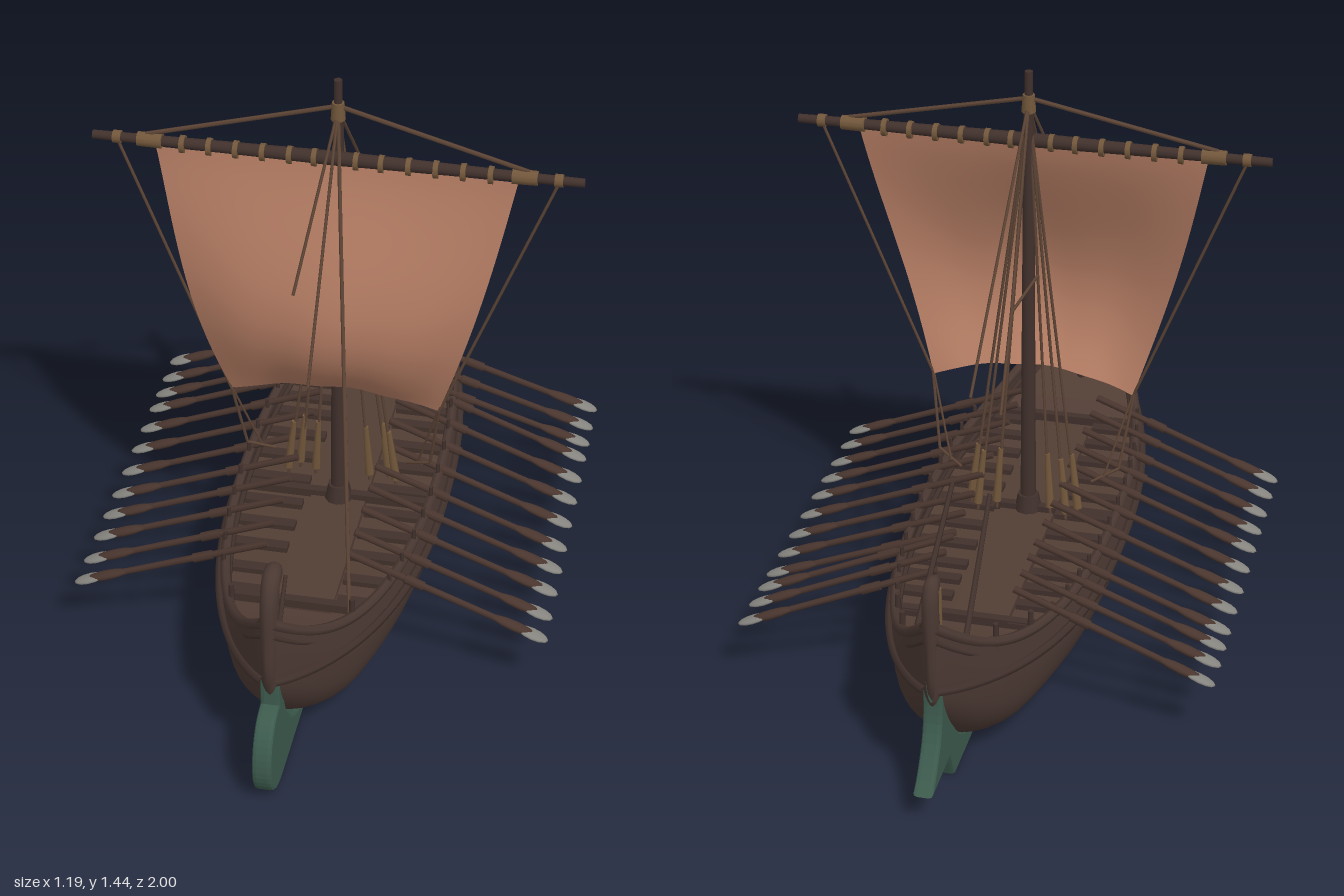
import * as THREE from 'three';

const V = (x, y, z) => new THREE.Vector3(x, y, z);
const mat = (name, color, side = THREE.FrontSide) => {
  const m = new THREE.MeshStandardMaterial({ color, side });
  m.name = name;
  return m;
};

export function createModel() {
  const ship = new THREE.Group();
  ship.name = 'oaredSailingShip';
  const hullWood = mat('hullWood', 0x4a3832, THREE.DoubleSide);
  const darkWood = mat('darkWood', 0x41312c);
  const deckWood = mat('deckWood', 0x513d34, THREE.DoubleSide);
  const oarWood = mat('oarWood', 0x49352e);
  const bladeGrey = mat('bladeGrey', 0x85847f);
  const bronze = mat('greenBronze', 0x3c5a4d);
  const canvas = mat('sailCanvas', 0xb27b62, THREE.DoubleSide);
  const rope = mat('rope', 0x5c4435);
  const binding = mat('ropeBinding', 0x72573b);

  const add = (name, geo, material, parent = ship) => {
    const m = new THREE.Mesh(geo, material);
    m.name = name;
    parent.add(m);
    return m;
  };
  const box = (name, w, h, d, x, y, z, m) => add(name, new THREE.BoxGeometry(w, h, d), m).position.set(x, y, z);
  // straight round bar between two points
  const bar = (name, a, b, r0, r1, m, sides = 6) => {
    const c = add(name, new THREE.CylinderGeometry(r1, r0, a.distanceTo(b), sides), m);
    c.position.copy(a).add(b).multiplyScalar(0.5);
    c.quaternion.setFromUnitVectors(V(0, 1, 0), b.clone().sub(a).normalize());
    return c;
  };
  const line = (name, pts, r = 0.004) => {
    for (let i = 1; i < pts.length; i++) bar(name, V(...pts[i - 1]), V(...pts[i]), r, r, rope, 5);
  };
  // surface through equal rows of points
  const loft = (rows, closed = false) => {
    const n = rows[0].length, idx = [];
    for (let i = 0; i < rows.length - 1; i++)
      for (let j = 0; j < (closed ? n : n - 1); j++) {
        const k = (j + 1) % n, a = i * n + j, b = i * n + k, c = a + n, d = b + n;
        idx.push(a, c, b, b, c, d);
      }
    const g = new THREE.BufferGeometry().setFromPoints(rows.flat());
    g.setIndex(idx);
    g.computeVertexNormals();
    return g;
  };

  // hull lines: half breadth, rail height and keel height along z
  const beam = z => 0.262 * Math.pow(Math.max(0.001, 1 - Math.pow(Math.abs(z) / 0.92, 2.3)), 0.8);
  const sheer = z => 0.285 + 0.21 * Math.pow(Math.abs(z) / 0.92, 5);
  const keel = z => 0.02 + 0.26 * Math.pow(Math.max(0, Math.abs(z) - 0.6) / 0.31, 1.8);
  const section = new THREE.SplineCurve([[0, 0], [0.38, 0.05], [0.72, 0.17], [0.92, 0.36], [1, 0.64], [0.985, 0.82], [0.95, 1]]
    .map(p => new THREE.Vector2(...p)));
  const prof = section.getPoints(14);
  const stations = Array.from({ length: 61 }, (_, i) => 0.91 * Math.sin((i / 60 - 0.5) * Math.PI));
  const hullPt = (p, s, z) => V(s * p.x * beam(z), keel(z) + p.y * (sheer(z) - keel(z)), z);
  add('hullShell', loft(stations.map(z => [
    ...prof.slice(1).reverse().map(p => hullPt(p, -1, z)), ...prof.map(p => hullPt(p, 1, z))])), hullWood);
  add('deck', loft(stations.slice(4, -4).map(z =>
    [-1, 0, 1].map(s => V(s * beam(z) * 0.97, sheer(z) - 0.08, z)))), deckWood);
  box('keel', 0.03, 0.035, 1.57, 0, 0.0175, 0.005, darkWood);

  // rails and wales
  for (const s of [-1, 1]) {
    const strake = (name, f, yOf, r, m) => add(name, new THREE.TubeGeometry(new THREE.CatmullRomCurve3(
      stations.filter((_, i) => i % 2 === 0).map(z => V(s * beam(z) * f, yOf(z), z))), 80, r, 6), m);
    strake('rail', 0.94, z => sheer(z) + 0.002, 0.013, hullWood);
    strake('wale', 1.02, z => 0.22 + 0.09 * Math.pow(Math.abs(z) / 0.9, 3), 0.011, darkWood);
    strake('innerStringer', 0.9, z => sheer(z) - 0.035, 0.007, darkWood);
  }

  // curled stem and stern posts: centre points [z, y, half width]
  const post = (name, pts, thick) => {
    const c = new THREE.CatmullRomCurve3(pts.map(([z, y, w]) => V(w, y, z)));
    const rows = [];
    for (let i = 0; i <= 48; i++) {
      const p = c.getPoint(i / 48), t = c.getTangent(i / 48), l = Math.hypot(t.y, t.z);
      rows.push(Array.from({ length: 12 }, (_, j) => {
        const a = j / 12 * Math.PI * 2, n = Math.cos(a) * p.x;
        return V(Math.sin(a) * Math.min(thick, p.x), p.y + n * t.z / l, p.z - n * t.y / l);
      }));
    }
    add(name, loft(rows, true), hullWood);
  };
  post('bowPost', [[0.83, 0.2, 0.03], [0.875, 0.33, 0.045], [0.887, 0.44, 0.036], [0.885, 0.53, 0.03], [0.865, 0.575, 0.024],
    [0.835, 0.582, 0.02], [0.815, 0.56, 0.016], [0.822, 0.538, 0.013], [0.84, 0.54, 0.008]], 0.022);
  post('sternPost', [[-0.83, 0.2, 0.03], [-0.865, 0.32, 0.045], [-0.885, 0.42, 0.036], [-0.9, 0.5, 0.024], [-0.9, 0.56, 0.02],
    [-0.888, 0.588, 0.017], [-0.87, 0.585, 0.015], [-0.866, 0.562, 0.012], [-0.88, 0.552, 0.007]], 0.02);

  // bronze sheathing on the forefoot and the stern fin, drawn in the z-y plane
  const plate = (name, draw) => {
    const s = new THREE.Shape();
    draw(s);
    const g = new THREE.ExtrudeGeometry(s, { depth: 0.026, bevelSize: 0.006, bevelThickness: 0.01, bevelOffset: -0.006, bevelSegments: 2, curveSegments: 10 });
    g.translate(0, 0, -0.013).rotateY(-Math.PI / 2);
    add(name, g, bronze);
  };
  plate('bowRam', s => {
    s.moveTo(0.9, 0.31);
    s.lineTo(0.9, 0.235);
    s.bezierCurveTo(0.97, 0.23, 1.0, 0.17, 1.0, 0.11);
    s.bezierCurveTo(1.0, 0.05, 0.96, 0, 0.88, 0);
    s.lineTo(0.62, 0);
    s.lineTo(0.64, 0.03);
    s.bezierCurveTo(0.76, 0.06, 0.84, 0.13, 0.865, 0.3);
  });
  plate('sternFin', s => {
    s.moveTo(-0.9, 0.32);
    s.bezierCurveTo(-0.895, 0.22, -0.9, 0.17, -1.0, 0.08);
    s.lineTo(-0.825, 0.08);
    s.lineTo(-0.79, 0);
    s.lineTo(-0.6, 0);
    s.lineTo(-0.62, 0.03);
    s.bezierCurveTo(-0.74, 0.06, -0.82, 0.14, -0.855, 0.31);
  });

  // gangway, cross beams and rowing benches
  box('gangway', 0.14, 0.02, 1.0, 0, 0.215, 0.03, deckWood);
  for (const z of [-0.64, -0.48, 0.07, 0.53]) box('crossBeam', beam(z) * 1.86, 0.022, 0.022, 0, sheer(z) - 0.055, z, darkWood);
  const oarZ = [-0.52, -0.435, -0.36, -0.29, -0.195, -0.1, 0, 0.1, 0.19, 0.28, 0.375, 0.46];
  for (const s of [-1, 1]) oarZ.forEach((z, i) => {
    const w = beam(z) * 0.94 - 0.08;
    box('bench', w, 0.014, 0.03, s * (0.08 + w / 2), 0.238, z + 0.04, darkWood);
    bar('tholePin', V(s * beam(z) * 0.94, 0.28, z + 0.02), V(s * beam(z) * 0.94, 0.325, z + 0.02), 0.006, 0.005, darkWood);

    // oar, built along +x then swung into place
    const inner = V(s * 0.1, 0.355, z + (s > 0 && i < 3 ? 0.05 : i === 0 ? 0.01 : 0));
    const tip = V(s * 0.595, 0.16, z);
    const L = inner.distanceTo(tip);
    const oar = new THREE.Group();
    oar.name = 'oar';
    oar.position.copy(inner);
    oar.quaternion.setFromUnitVectors(V(1, 0, 0), tip.clone().sub(inner).normalize());
    ship.add(oar);
    const along = (name, r0, r1, a, b) => {
      const c = add(name, new THREE.CylinderGeometry(r1, r0, b - a, 7), oarWood, oar);
      c.rotation.z = -Math.PI / 2;
      c.position.x = (a + b) / 2;
    };
    along('oarShaft', 0.009, 0.008, 0, L - 0.06);
    along('oarCollar', 0.012, 0.012, 0.15, 0.2);
    const leaf = (name, x, l, w, t, m) => {
      const e = add(name, new THREE.SphereGeometry(1, 12, 8), m, oar);
      e.scale.set(l, t, w);
      e.position.x = x;
    };
    leaf('oarNeck', L - 0.09, 0.065, 0.016, 0.011, oarWood);
    leaf('oarBlade', L - 0.042, 0.042, 0.021, 0.008, bladeGrey);
  });

  // mast and yard
  const mz = 0.075;
  bar('mast', V(0, 0.19, mz), V(0, 1.37, mz), 0.021, 0.013, darkWood, 12);
  bar('mastHead', V(0, 1.36, mz), V(0, 1.44, mz), 0.01, 0.01, darkWood, 10);
  bar('mastBinding', V(0, 1.335, mz), V(0, 1.38, mz), 0.018, 0.015, binding, 10);
  bar('mastFoot', V(0, 0.2, mz), V(0, 0.27, mz), 0.04, 0.027, darkWood, 10);
  const yy = 1.247, yz = 0.107;
  for (const s of [-1, 1]) {
    bar('yard', V(0, yy, yz), V(s * 0.59, yy, yz), 0.018, 0.011, darkWood, 10);
    bar('yardBinding', V(s * 0.42, yy, yz), V(s * 0.48, yy, yz), 0.019, 0.018, binding, 10);
    bar('yardEndBinding', V(s * 0.52, yy, yz), V(s * 0.54, yy, yz), 0.016, 0.016, binding, 10);
    for (const x of [0.05, 0.11, 0.175, 0.24, 0.305, 0.37])
      bar('sailTie', V(s * x - 0.006, yy - 0.003, yz), V(s * x + 0.006, yy - 0.003, yz), 0.022, 0.022, binding, 10);
  }

  // billowing sail, tapering to its foot
  const sailRows = [];
  for (let i = 0; i <= 24; i++) {
    const v = i / 24, puff = Math.sin(Math.PI * 0.93 * Math.pow(v, 1.3));
    sailRows.push(Array.from({ length: 25 }, (_, j) => {
      const u = j / 12 - 1, mid = 1 - u * u;
      const half = 0.435 - 0.175 * v + 0.012 * Math.sin(Math.PI * v);
      return V(u * half, 1.232 - 0.67 * v + 0.05 * Math.pow(v, 4) * mid,
        0.11 + puff * (0.055 + 0.072 * mid) + 0.005 * Math.sin(9 * u + 3 * v) * v * mid);
    }));
  }
  add('sail', loft(sailRows), canvas);

  // rigging
  for (const s of [-1, 1]) {
    line('yardLift', [[0, 1.37, mz], [s * 0.46, 1.262, yz]], 0.006);
    line('sheet', [[s * 0.53, 1.24, yz], [s * 0.262, 0.565, 0.125], [s * 0.235, 0.37, 0.08], [s * 0.17, 0.34, 0.05]]);
    line('sailTack', [[s * 0.26, 0.565, 0.125], [s * 0.2, 0.35, 0.06]], 0.003);
    for (const [x, z] of [[0.14, 0.03], [0.115, 0.0], [0.07, 0.02]]) {
      line('shroud', [[0, 1.35, mz], [s * x, 0.25, z]]);
      bar('shroudBlock', V(s * x, 0.27, z), V(s * x * 0.87, 0.42, z + 0.008), 0.012, 0.007, binding);
    }
    // steering oars
    bar('steeringOar', V(s * 0.045, s > 0 ? 0.635 : 0.615, -0.52), V(s * 0.06, 0.385, -0.84), 0.006, 0.008, darkWood);
    for (const z of [-0.74, -0.6, 0.65]) bar('railPost', V(s * beam(z) * 0.9, sheer(z) - 0.03, z), V(s * beam(z) * 0.9, sheer(z) + 0.05, z), 0.008, 0.007, darkWood);
  }
  line('forestay', [[0, 1.36, mz], [0.14, 0.31, 0.65]], 0.005);
  line('bowLine', [[0, 1.36, mz], [0, 0.82, 0.445]]);
  line('bowLineShort', [[0, 1.36, mz], [-0.06, 0.99, 0.32]]);
  line('backstay', [[0, 1.36, mz], [0.03, 0.8, -0.4]]);
  line('backstay', [[0, 1.36, mz], [-0.03, 0.95, -0.235], [-0.04, 0.755, -0.39]]);
  line('looseLine', [[-0.06, 0.98, -0.09], [-0.03, 0.95, -0.235]]);

  // foredeck spar, bitt and stern pole
  bar('foredeckSpar', V(0, 0.35, 0.81), V(0, 0.47, 0.71), 0.007, 0.005, darkWood);
  bar('foredeckBitt', V(0, 0.24, 0.73), V(0, 0.33, 0.73), 0.012, 0.01, darkWood);
  bar('sternPole', V(0.06, 0.23, -0.6), V(0.06, 0.39, -0.6), 0.007, 0.006, binding);
  return ship;
}
